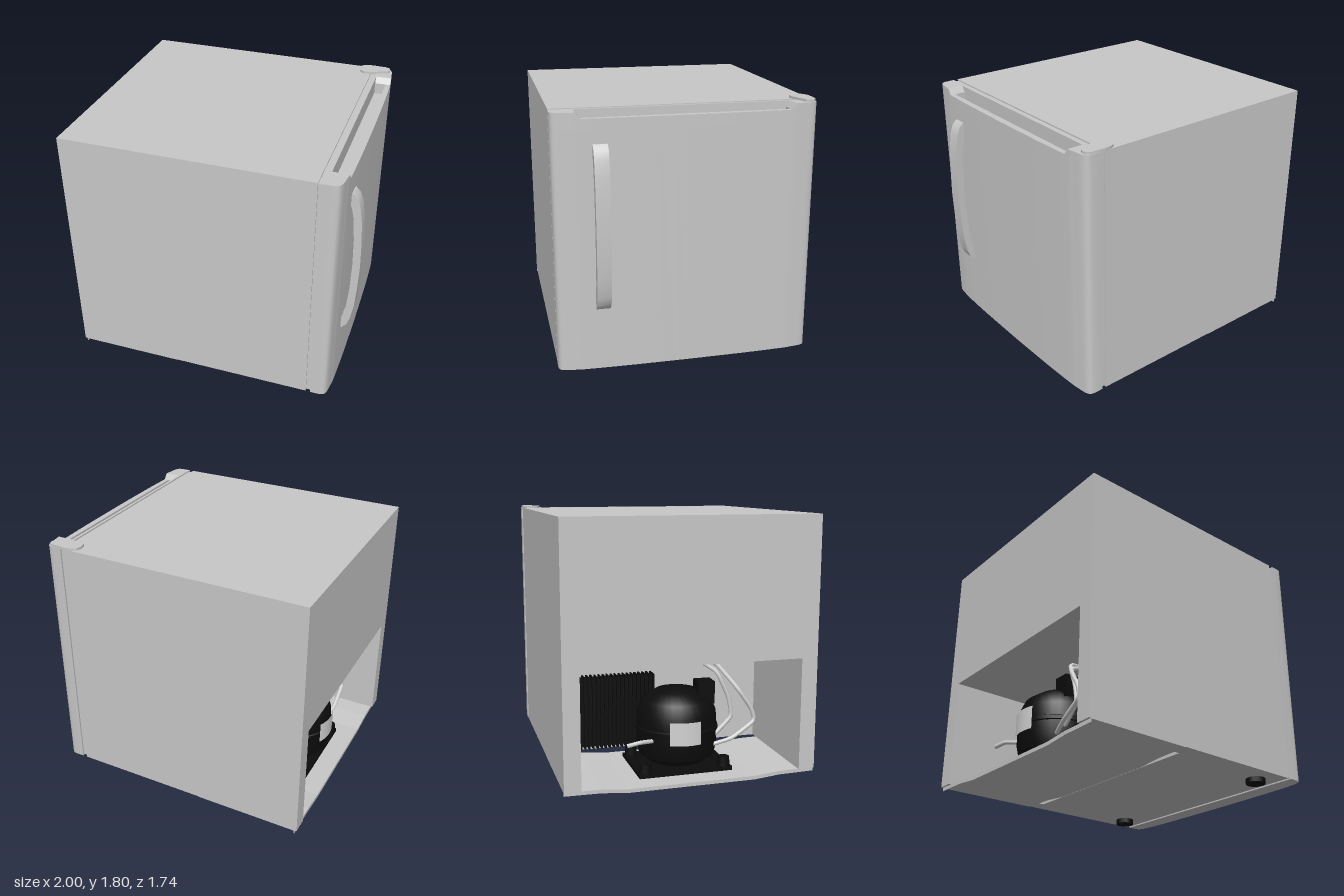
import * as THREE from 'three';
import { toCreasedNormals } from 'three/addons/utils/BufferGeometryUtils.js';

const material = (name, color) => {
  const m = new THREE.MeshStandardMaterial({ color });
  m.name = name;
  return m;
};

export function createModel() {
  const group = new THREE.Group();
  const grey = material('casing grey', 0xc8c8c8);
  const black = material('black', 0x0c0c0c);
  const silver = material('pipe silver', 0xd2d2d2);

  const add = (name, geometry, mat, x = 0, y = 0, z = 0) => {
    const mesh = new THREE.Mesh(geometry, mat);
    mesh.name = name;
    mesh.position.set(x, y, z);
    group.add(mesh);
    return mesh;
  };
  // box given by its limits on each axis
  const box = (name, mat, [x0, x1], [y0, y1], [z0, z1]) =>
    add(name, new THREE.BoxGeometry(x1 - x0, y1 - y0, z1 - z0), mat,
      (x0 + x1) / 2, (y0 + y1) / 2, (z0 + z1) / 2);
  const toShape = (pts) => new THREE.Shape(pts.map(([a, b]) => new THREE.Vector2(a, b)));
  const extrude = (shape, depth) =>
    new THREE.ExtrudeGeometry(shape, { depth, bevelEnabled: false });
  // plan outline [x, z] raised from y0 to y1
  const plan = (pts, y0, y1, hole) => {
    const flip = ([x, z]) => [x, -z];
    const shape = toShape(pts.map(flip));
    if (hole) shape.holes.push(toShape(hole.map(flip)));
    return extrude(shape, y1 - y0).rotateX(-Math.PI / 2).translate(0, y0, 0);
  };
  // symmetric [z, y] outline drawn from x0 to x1
  const across = (pts, x0, x1) =>
    extrude(toShape(pts), x1 - x0).rotateY(Math.PI / 2).translate(x0, 0, 0);

  // Cabinet with a machine compartment open at the rear
  const IN = 0.757;
  add('cabinet', extrude(toShape([[-1, 0.83], [-0.19, 0.83], [-0.19, 0.05], [0.74, 0.05],
    [0.74, 1.79], [-1, 1.79]]), 2 * IN), grey, 0, 0, -IN);
  box('sidePanelLeft', grey, [-1, 0.74], [0.05, 1.79], [IN, 0.87]);
  box('sidePanelRight', grey, [-1, 0.74], [0.05, 1.79], [-0.87, -IN]);
  box('doorGasket', grey, [0.74, 0.775], [0.06, 1.78], [-0.86, 0.86]);

  // Door: bowed front with rounded corners
  const half = new THREE.SplineCurve([[0.84, 0.872], [0.868, 0.862], [0.885, 0.83], [0.895, 0.76],
    [0.902, 0.685], [0.91, 0.4], [0.913, 0]].map(([x, z]) => new THREE.Vector2(x, z)))
    .getPoints(24).map((p) => [p.x, p.y]);
  const mirror = (pts) => pts.map(([x, z]) => [x, -z]).reverse();
  const outline = [[0.772, 0.872], ...half, ...mirror(half).slice(1), [0.772, -0.872]];
  const GRIP = 0.685;
  const hole = [[0.79, GRIP], [0.868, GRIP], [0.868, -GRIP], [0.79, -GRIP]];
  add('door', toCreasedNormals(plan(outline, 0.05, 1.67), 0.5), grey);
  add('doorGripChannel', toCreasedNormals(plan(outline, 1.67, 1.75, hole), 0.5), grey);
  // top layer, cut away along the front between two sloped ends
  const CUT = 0.715;
  const corner = [[0.772, 0.872], ...half.filter((p) => p[1] > CUT), [0.9, CUT], [0.79, CUT]];
  const top = plan([...corner, ...mirror(corner)], 1.75, 1.79);
  const pos = top.attributes.position;
  for (let i = 0; i < pos.count; i++) {
    if (pos.getY(i) < 1.76 && Math.abs(Math.abs(pos.getZ(i)) - CUT) < 1e-4) {
      pos.setZ(i, Math.sign(pos.getZ(i)) * GRIP);
      if (pos.getX(i) > 0.85) pos.setX(i, 0.902);
    }
  }
  add('doorTop', toCreasedNormals(top, 0.5), grey);

  // Bowed door handle
  const outer = [[0.9, 1.59], [0.915, 1.59], [0.945, 1.56], [0.967, 1.5], [0.985, 1.38], [0.995, 1.22],
    [1, 1.04], [0.995, 0.86], [0.985, 0.7], [0.965, 0.58], [0.945, 0.52], [0.915, 0.485], [0.9, 0.48]];
  const inner = [[0.9, 0.57], [0.912, 0.58], [0.93, 0.68], [0.943, 0.84], [0.948, 1.04],
    [0.943, 1.24], [0.93, 1.4], [0.912, 1.49], [0.9, 1.5]];
  add('doorHandle', toCreasedNormals(extrude(toShape([...outer, ...inner]), 0.095), 0.5),
    grey, 0, 0, 0.52);

  // Top hinge cover
  add('hingeCover', toCreasedNormals(plan([[0.645, -0.81], [0.655, -0.845], [0.69, -0.868],
    [0.74, -0.872], [0.84, -0.867], [0.868, -0.85], [0.873, -0.82], [0.86, -0.795],
    [0.73, -0.745], [0.69, -0.743], [0.655, -0.765]], 1.785, 1.806), 0.6), grey);

  // Front feet
  for (const side of [1, -1]) {
    add('foot', new THREE.CylinderGeometry(0.07, 0.07, 0.035, 12), black, 0.585, 0.0325, 0.71 * side);
    add('footRim', new THREE.CylinderGeometry(0.062, 0.055, 0.012, 12), black, 0.585, 0.018, 0.71 * side);
  }

  // Sagging tray under the compartment, with a hanging rear flange
  const sag = [[-0.87, 0.05], [-0.62, 0.046], [-0.44, 0.029], [0.44, 0.029], [0.62, 0.046], [0.87, 0.05]];
  const strip = (drop) => [...sag.map(([z, y]) => [z, y - drop]), ...sag.slice().reverse()];
  add('compartmentTray', across(strip(0.003), -0.98, -0.24), grey);
  add('trayFlange', across(strip(0.025), -0.985, -0.98), grey);

  // Compressor: plate, rounded shell, terminal box and label
  box('compressorPlate', black, [-0.84, -0.36], [0.032, 0.06], [-0.33, 0.33]);
  for (const x of [-0.8, -0.4]) for (const z of [-0.28, 0.28]) {
    add('compressorMount', new THREE.CylinderGeometry(0.04, 0.045, 0.07, 12), black, x, 0.09, z);
  }
  const shell = [[0, 0.07], [0.2, 0.08], [0.265, 0.13], [0.28, 0.2], [0.28, 0.3], [0.288, 0.305],
    [0.288, 0.33], [0.28, 0.335], [0.275, 0.43], [0.24, 0.51], [0.15, 0.57], [0, 0.59]];
  add('compressorShell', toCreasedNormals(new THREE.LatheGeometry(
    shell.map(([r, y]) => new THREE.Vector2(r, y)), 32), 0.6), black, -0.6, 0, 0);
  box('compressorTerminalBox', black, [-0.72, -0.6], [0.48, 0.64], [0.12, 0.24]);
  const label = new THREE.CylinderGeometry(0.292, 0.292, 0.16, 10, 1, true,
    -Math.PI / 2 - 0.45, 0.75);
  add('compressorLabel', label, silver, -0.6, 0.33, 0);

  // Refrigerant pipes
  const pipe = (pts) => add('refrigerantPipe', new THREE.TubeGeometry(
    new THREE.CatmullRomCurve3(pts.map((p) => new THREE.Vector3(...p)), false, 'catmullrom', 0.2),
    32, 0.015, 8), silver);
  pipe([[-0.76, 0.2, 0.2], [-0.8, 0.25, 0.34], [-0.8, 0.36, 0.5], [-0.8, 0.45, 0.48],
    [-0.78, 0.6, 0.38], [-0.5, 0.7, 0.34], [-0.2, 0.7, 0.34]]);
  pipe([[-0.72, 0.24, 0.22], [-0.72, 0.38, 0.36], [-0.72, 0.52, 0.34], [-0.7, 0.7, 0.26],
    [-0.45, 0.74, 0.2], [-0.2, 0.74, 0.2]]);
  pipe([[-0.75, 0.26, -0.2], [-0.82, 0.28, -0.32], [-0.84, 0.27, -0.42]]);
  pipe([[-0.4, 0.2, 0.1], [-0.27, 0.12, 0.06], [-0.24, 0.12, -0.08]]);

  // Finned condenser against the compartment's inner wall
  box('condenser', black, [-0.28, -0.2], [0.1, 0.6], [-0.74, -0.08]);
  for (let i = 0; i < 23; i++) {
    const z = -0.74 + i * 0.03;
    box('condenserFin', black, [-0.3, -0.195], [0.085, 0.615], [z - 0.006, z + 0.006]);
  }
  return group;
}
